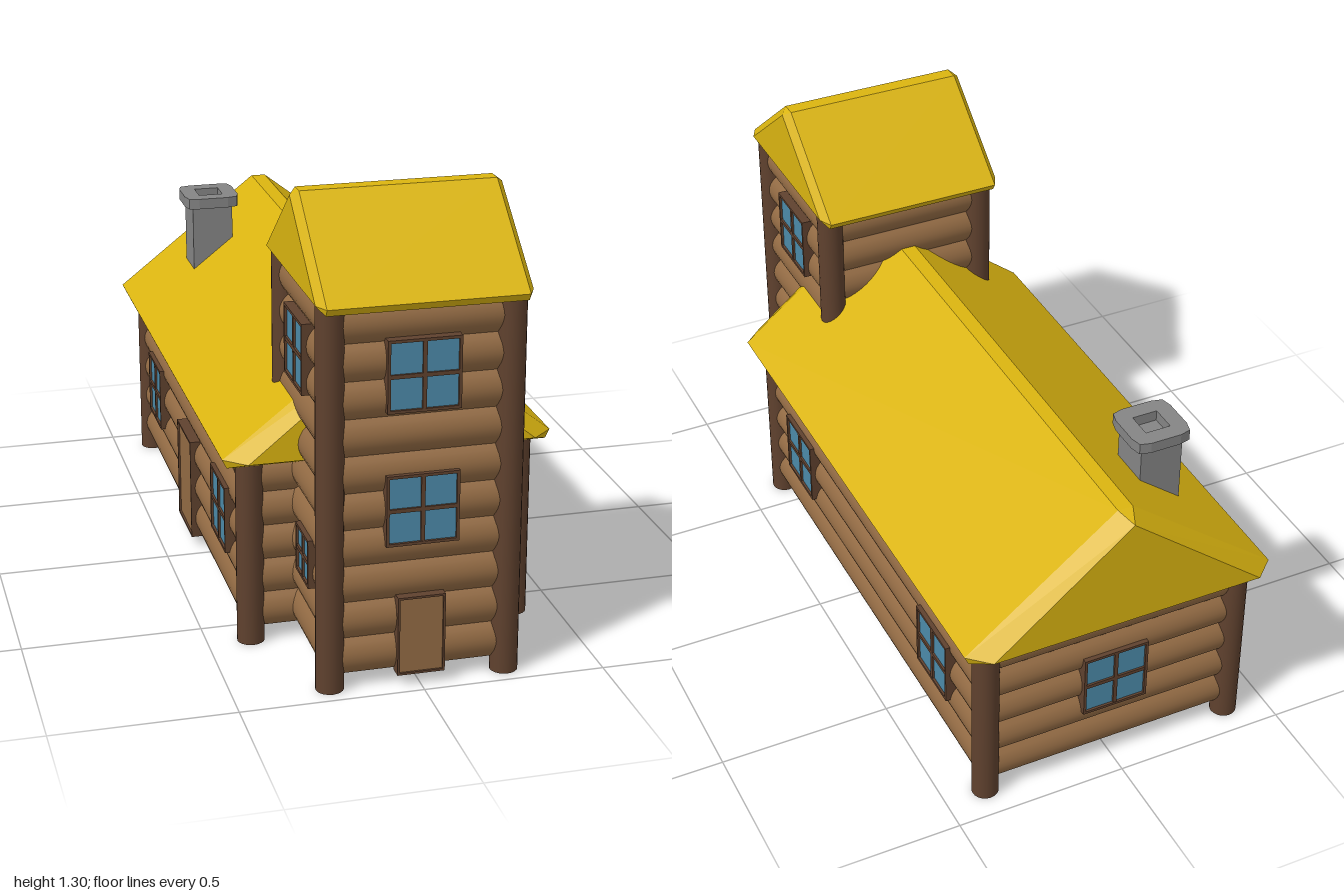
import * as THREE from 'three';
import { toCreasedNormals } from 'three/addons/utils/BufferGeometryUtils.js';
import { ConvexGeometry } from 'three/addons/geometries/ConvexGeometry.js';

const mat = (name, color) => new THREE.MeshStandardMaterial({ name, color });

export function createModel() {
  const model = new THREE.Group();
  model.name = 'logCabin';
  const log = mat('log brown', 0x936b44);
  const post = mat('dark wood', 0x5f412e);
  const thatch = mat('yellow roof', 0xdab410);
  const glass = mat('blue glass', 0x4c8aa9);
  const stone = mat('grey stone', 0x848484);
  const logBack = log.clone();
  logBack.side = THREE.DoubleSide;

  const add = (name, geo, material, x = 0, y = 0, z = 0, parent = model) => {
    const m = new THREE.Mesh(geo, material);
    m.name = name;
    m.position.set(x, y, z);
    parent.add(m);
    return m;
  };
  const box = (name, w, h, d, material, x, y, z, parent) =>
    add(name, new THREE.BoxGeometry(w, h, d), material, x, y, z, parent);

  // Wall of stacked round logs, bulging outward from its plane
  const logWall = (name, width, y0, y1, count, x, z, turn) => {
    const h = y1 - y0;
    const geo = new THREE.PlaneGeometry(width, h, 1, count * 8);
    const p = geo.attributes.position;
    for (let i = 0; i < p.count; i++) {
      const t = (p.getY(i) / h + 0.5) * count;
      p.setZ(i, 0.024 * Math.pow(Math.abs(Math.sin(Math.PI * t)), 0.75));
    }
    add(name, toCreasedNormals(geo, 0.6), logBack, x, (y0 + y1) / 2, z).rotation.y = turn;
  };
  const Q = Math.PI / 2;
  const BASE = 0.04;

  // House walls and floor
  const HX = 0.379, HF = 0.596, HB = -0.905, HZ = (HF + HB) / 2, HL = HF - HB;
  for (const s of [1, -1]) logWall('houseSideWall', HL, BASE, 0.535, 5, s * HX, HZ, s * Q);
  logWall('houseFrontWall', 2 * HX, BASE, 0.535, 5, 0, HF, 0);
  logWall('houseBackWall', 2 * HX, BASE, 0.535, 5, 0, HB, Math.PI);
  box('houseFloor', 2 * HX, 0.01, HL, log, 0, BASE + 0.005, HZ);

  // Tower walls and floor
  const TX = 0.241, TF = 0.93, TB = 0.453, TZ = (TF + TB) / 2, TL = TF - TB;
  for (const s of [1, -1]) logWall('towerSideWall', TL, BASE, 1.06, 10, s * TX, TZ, s * Q);
  logWall('towerFrontWall', 2 * TX, BASE, 1.06, 10, 0, TF, 0);
  logWall('towerBackWall', 2 * TX, BASE, 1.06, 10, 0, TB, Math.PI);
  box('towerFloor', 2 * TX, 0.01, TF - HF, log, 0, BASE + 0.005, (TF + HF) / 2);

  // Corner posts; the rear tower posts stand on the house roof
  const addPost = (name, x, z, y0, y1) =>
    add(name, new THREE.CylinderGeometry(0.038, 0.038, y1 - y0, 20), post, x, (y0 + y1) / 2, z);
  for (const s of [1, -1]) {
    addPost('houseFrontPost', s * HX, HF, 0, 0.54);
    addPost('houseBackPost', s * HX, HB, 0, 0.54);
    addPost('towerFrontPost', s * TX, TF, 0, 1.065);
    addPost('towerBackPost', s * TX, TB, 0.56, 1.065);
  }

  // Solid gable roof with bevelled ends, ridge along z
  const gableRoof = (name, r) => {
    const pts = [];
    for (const sz of [1, -1]) {
      pts.push(new THREE.Vector3(0, r.endApex, sz * r.length));
      for (const sx of [1, -1]) {
        pts.push(
          new THREE.Vector3(sx * r.endHalf, r.eave, sz * r.length),
          new THREE.Vector3(sx * 0.022, r.ridge, sz * r.inner),
          new THREE.Vector3(sx * r.half, r.eave, sz * r.inner),
          new THREE.Vector3(sx * (r.half - 0.012), r.bottom, sz * r.inner));
      }
    }
    return add(name, new ConvexGeometry(pts), thatch, 0, 0, r.z);
  };
  gableRoof('houseRoof', { ridge: 0.897, endApex: 0.88, eave: 0.555, bottom: 0.53,
    half: 0.46, endHalf: 0.4, length: 0.845, inner: 0.79, z: -0.155 });
  gableRoof('towerRoof', { ridge: 1.303, endApex: 1.288, eave: 1.075, bottom: 1.055,
    half: 0.31, endHalf: 0.27, length: 0.285, inner: 0.265, z: 0.69 }).rotation.y = Q;

  // Fittings face local +z, then turn onto their wall
  const fitting = (name, x, y, z, turn) => {
    const g = new THREE.Group();
    g.name = name;
    g.position.set(x, y, z);
    g.rotation.y = turn;
    model.add(g);
    return g;
  };
  const frameBars = (g, w, h, t) => {
    for (const s of [1, -1]) {
      box('frameUpright', t, h, 0.037, post, s * (w - t) / 2, 0, 0.0185, g);
      box('frameRail', w, t, 0.037, post, 0, s * (h - t) / 2, 0.0185, g);
    }
  };
  const addWindow = (x, y, z, turn, size) => {
    const g = fitting('window', x, y, z, turn);
    box('pane', size - 0.01, size - 0.01, 0.008, glass, 0, 0, 0.026, g);
    frameBars(g, size, size, 0.008);
    box('mullion', 0.011, size, 0.014, post, 0, 0, 0.029, g);
    box('transom', size, 0.011, 0.014, post, 0, 0, 0.029, g);
  };
  const addDoor = (x, z, turn, w, h) => {
    const g = fitting('door', x, 0.032 + h / 2, z, turn);
    box('doorPanel', w - 0.008, h - 0.008, 0.03, log, 0, 0, 0.016, g);
    frameBars(g, w, h, 0.006);
  };
  addWindow(0, 0.871, TF, 0, 0.197);
  addWindow(0, 0.503, TF, 0, 0.197);
  addWindow(0, 0.295, HB, Math.PI, 0.195);
  for (const s of [1, -1]) {
    addWindow(s * TX, 0.871, 0.685, s * Q, 0.195);
    addWindow(s * TX, 0.322, 0.777, s * Q, 0.137);
    addWindow(s * HX, 0.293, 0.345, s * Q, 0.195);
    addWindow(s * HX, 0.293, -0.633, s * Q, 0.195);
  }
  addDoor(0, TF, 0, 0.13, 0.224);
  addDoor(-HX, -0.15, -Q, 0.2, 0.305);

  // Chimney: square shaft and rounded cap with a square flue
  const CX = -0.22, CZ = -0.682;
  box('chimneyShaft', 0.125, 0.3, 0.125, stone, CX, 0.745, CZ);
  const a = 0.084, b = 0.045, c = 0.076;
  const cap = new THREE.Shape([
    [a, -b], [a, b], [c, c], [b, a], [-b, a], [-c, c],
    [-a, b], [-a, -b], [-c, -c], [-b, -a], [b, -a], [c, -c],
  ].map(([x, y]) => new THREE.Vector2(x, y)));
  const f = 0.037;
  cap.holes.push(new THREE.Path([[-f, -f], [-f, f], [f, f], [f, -f]]
    .map(([x, y]) => new THREE.Vector2(x, y))));
  const capGeo = new THREE.ExtrudeGeometry(cap, { depth: 0.032, bevelEnabled: false });
  add('chimneyCap', capGeo, stone, CX, 0.894, CZ).rotation.x = -Q;

  return model;
}
